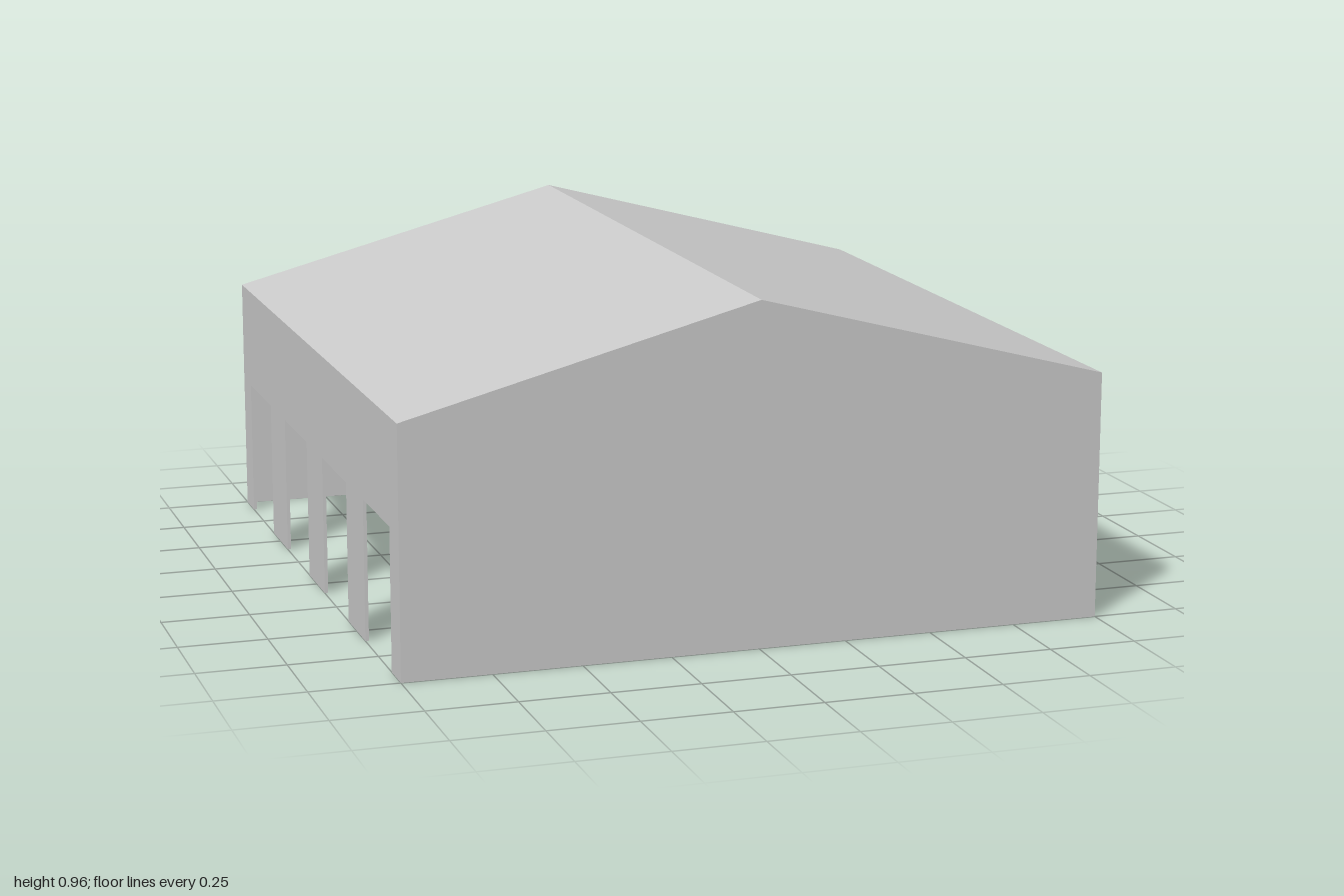
import * as THREE from 'three';

const EAVE = 0.7, RIDGE = 0.965, T = 0.01; // heights and sheet thickness

export function createModel() {
  const group = new THREE.Group();
  const material = new THREE.MeshStandardMaterial({ color: 0xcccccc, flatShading: true });

  // Extrude an outline along z, centred on z = 0
  const panel = (name, points, depth) => {
    const shape = new THREE.Shape(points.map(([x, y]) => new THREE.Vector2(x, y)));
    const geometry = new THREE.ExtrudeGeometry(shape, { depth, bevelEnabled: false });
    geometry.translate(0, 0, -depth / 2);
    const mesh = new THREE.Mesh(geometry, material);
    mesh.name = name;
    group.add(mesh);
    return mesh;
  };

  // Gable end walls
  const gable = [[-1, 0], [1, 0], [1, EAVE], [0, RIDGE], [-1, EAVE]];
  panel('frontGable', gable, T).position.z = 1 - T / 2;
  panel('backGable', gable, T).position.z = -1 + T / 2;

  // Side walls with four doorways open at the ground
  const end = 1 - T;
  const wall = [[-end, 0]];
  for (const c of [-0.75, -0.25, 0.25, 0.75]) {
    wall.push([c - 0.15, 0], [c - 0.15, 0.4], [c + 0.15, 0.4], [c + 0.15, 0]);
  }
  wall.push([end, 0], [end, EAVE - T], [-end, EAVE - T]);
  for (const [name, side] of [['leftWall', 1], ['rightWall', -1]]) {
    const mesh = panel(name, wall, T);
    mesh.rotation.y = Math.PI / 2;
    mesh.position.x = side * (1 - T / 2);
  }

  // Thin pitched roof between the gables
  panel('roof', [
    [-1, EAVE - T], [0, RIDGE - T], [1, EAVE - T],
    [1, EAVE], [0, RIDGE], [-1, EAVE],
  ], 2 * end);

  return group;
}
